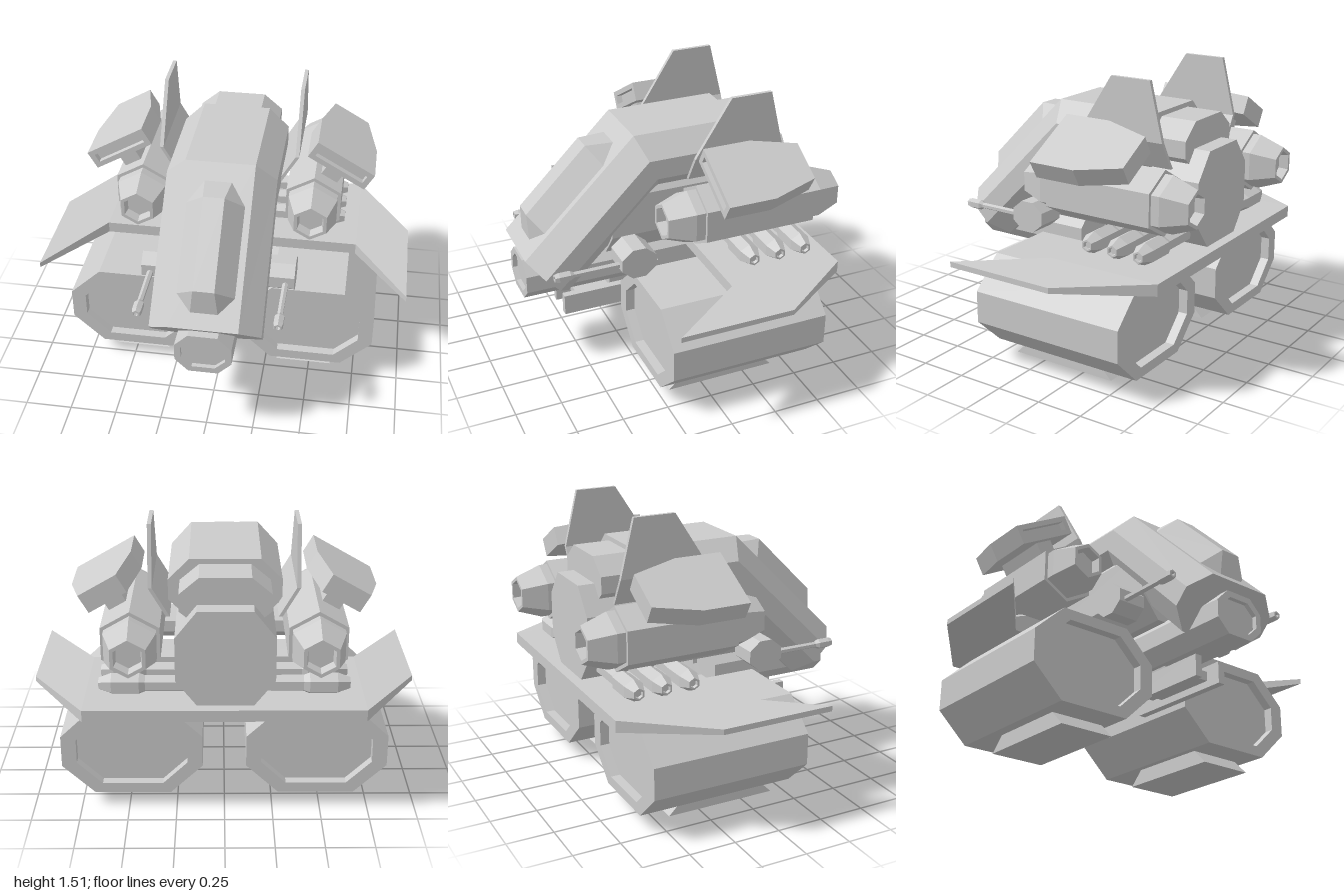
import * as THREE from 'three';
import { ConvexGeometry } from 'three/addons/geometries/ConvexGeometry.js';

const mat = new THREE.MeshStandardMaterial({ color: 0xcccccc, flatShading: true });
const V = (x, y, z) => new THREE.Vector3(x, y, z);

function add(parent, name, geo, x = 0, y = 0, z = 0) {
  const mesh = new THREE.Mesh(geo, mat);
  mesh.name = name;
  mesh.position.set(x, y, z);
  parent.add(mesh);
  return mesh;
}

function sub(parent, name) {
  const g = new THREE.Group();
  g.name = name;
  parent.add(g);
  return g;
}

// Rectangle with cut corners, half sizes w and h, cuts cx and cy
const octagon = (w, h, cx, cy) => [
  [w - cx, -h], [w, -h + cy], [w, h - cy], [w - cx, h],
  [-w + cx, h], [-w, h - cy], [-w, -h + cy], [-w + cx, -h],
].map(([x, y]) => new THREE.Vector2(x, y));

function extrude(pts, depth, hole) {
  const shape = new THREE.Shape(pts);
  if (hole) shape.holes.push(new THREE.Path(hole));
  return new THREE.ExtrudeGeometry(shape, { depth, bevelEnabled: false });
}

// Prism along z whose two ends are sunk inside a rim
function recessedPrism(parent, name, outer, inner, x, y, z0, z1, sink) {
  const g = sub(parent, name);
  add(g, name + 'Shell', extrude(outer, z1 - z0, inner), x, y, z0);
  add(g, name + 'Core', extrude(inner, z1 - z0 - 2 * sink), x, y, z0 + sink);
}

// Lathe around the z axis from [radius, z] pairs listed back to front
function latheZ(profile, sides, turn = 0) {
  const geo = new THREE.LatheGeometry(profile.map(([r, z]) => new THREE.Vector2(r, z)), sides);
  return geo.rotateY(turn).rotateX(Math.PI / 2);
}

// Bent hull: one eight-sided section at the tail, the mitred bend and the nose
function hullGeometry() {
  const section = [[0.182, 0], [0.29, 0.108], [0.29, 0.215], [0.182, 0.325]];
  const ring = section.concat(section.map(([x, d]) => [-x, d]).reverse());
  const m = Math.tan(Math.PI / 8), q = Math.SQRT1_2;
  const stations = [
    ([x, d]) => [x, 1.305 - d, -0.4],
    ([x, d]) => [x, 1.305 - d, 0.2 - d * m],
    ([x, d]) => [x, 0.7 - d * q, 0.81 - d * q],
  ];
  const pos = stations.flatMap((f) => ring.flatMap(f));
  const idx = [];
  for (let s = 0; s < 2; s++) {
    for (let i = 0; i < 8; i++) {
      const a = s * 8 + i, b = s * 8 + (i + 1) % 8;
      idx.push(a, a + 8, b, b, a + 8, b + 8);
    }
  }
  for (let i = 1; i < 7; i++) idx.push(0, i, i + 1, 16, 16 + i + 1, 16 + i);
  const geo = new THREE.BufferGeometry();
  geo.setAttribute('position', new THREE.Float32BufferAttribute(pos, 3));
  geo.setIndex(idx);
  const flat = geo.toNonIndexed();
  flat.computeVertexNormals();
  return flat;
}

function buildCentre(root) {
  const c = sub(root, 'body');
  c.position.x = -0.005;
  add(c, 'hull', hullGeometry());
  add(c, 'rearBody', extrude(octagon(0.25, 0.255, 0.11, 0.14), 1.04), 0, 0.885, -0.69);
  add(c, 'rearRoof', extrude(octagon(0.23, 0.13, 0.1, 0.085), 0.25), 0, 1.15, -0.6);

  // Canopy
  const pts = [];
  for (const s of [-1, 1]) {
    pts.push(V(s * 0.07, 1.235, 0.27), V(s * 0.15, 1.15, 0.355), V(s * 0.15, 0.82, 0.685),
      V(s * 0.07, 0.76, 0.75), V(s * 0.055, 1.235, 0.42), V(s * 0.055, 0.9, 0.755));
  }
  add(c, 'canopy', new ConvexGeometry(pts));

  // Chin sensor and the twin rails under it
  recessedPrism(c, 'chinSensor', octagon(0.147, 0.117, 0.07, 0.07),
    octagon(0.115, 0.085, 0.055, 0.052), 0, 0.53, 0.1, 0.8, 0.025);
  add(c, 'railMount', extrude([[-0.035, -0.08], [0.035, -0.08], [0.055, 0.05], [-0.055, 0.05]]
    .map((p) => new THREE.Vector2(...p)), 0.2), 0, 0.38, 0.1);
  add(c, 'railBridge', new THREE.BoxGeometry(0.13, 0.05, 0.35), 0, 0.32, 0.32);
  for (const s of [-1, 1]) {
    add(c, 'rail', new THREE.BoxGeometry(0.04, 0.115, 0.62), s * 0.077, 0.317, 0.27);
  }

  // Deck
  add(root, 'deck', new THREE.BoxGeometry(1.42, 0.062, 0.625), 0, 0.603, -0.4325);
}

function buildSide(root, s) {
  const g = sub(root, s > 0 ? 'leftSide' : 'rightSide');
  const hull = (name, pts) => add(g, name, new ConvexGeometry(pts.map(([x, y, z]) => V(s * x, y, z))));

  // Wing tip
  hull('wing', [
    ...[0.572, 0.634].flatMap((y) => [[0.71, y, -0.745], [0.71, y, -0.12]]),
    ...[0.588, 0.617].flatMap((y) => [[1, y, -0.32], [1, y, 0.29]]),
  ]);

  // Lower pod and skid
  recessedPrism(g, 'lowerPod', octagon(0.366, 0.245, 0.168, 0.16),
    octagon(0.288, 0.19, 0.13, 0.125), s * 0.479, 0.325, -0.61, 0.26, 0.05);
  hull('skid', [0.315, 0.62].flatMap((x) => [
    [x, 0, 0.185], [x, 0, -0.42], [x, 0.085, 0.1], [x, 0.085, -0.335]]));

  // Engine nacelle
  add(g, 'nacelle', latheZ([
    [0, -0.76], [0.07, -0.76], [0.08, -0.81], [0.1, -0.81], [0.15, -0.675], [0.15, -0.63], [0.17, -0.63],
    [0.17, -0.02], [0.15, -0.02], [0.15, 0.03], [0.1, 0.165], [0.08, 0.165], [0.07, 0.115], [0, 0.115],
  ], 6), s * 0.465, 0.945, 0);

  // Tilted launcher on a strut
  const l = sub(g, 'launcher');
  l.position.set(s * 0.465, 0.945, 0);
  l.rotation.z = -s * Math.PI / 6;
  add(l, 'strut', new THREE.BoxGeometry(0.1, 0.24, 0.34), 0, 0.12, -0.27);
  const plan = [[-0.178, 0.09], [0.178, 0.09], [0.178, 0.31], [0.11, 0.555], [-0.11, 0.555], [-0.178, 0.31]]
    .map((p) => new THREE.Vector2(...p));
  add(l, 'launcherBox', extrude(plan, 0.104).rotateX(-Math.PI / 2), 0, 0.22, 0);
  const rect = (w, h) => octagon(w, h, 0, 0).filter((p, i) => i % 2 === 0);
  add(l, 'launcherRim', extrude(rect(0.178, 0.052), 0.035, rect(0.148, 0.024)), 0, 0.272, -0.09);

  // Bent fin
  const plate = (y, x, z0, z1) => [[x, y, z0], [x, y, z1], [x + 0.02, y, z0], [x + 0.02, y, z1]];
  hull('finBlade', [...plate(1.515, 0.356, -0.255, -0.48), ...plate(1.21, 0.356, -0.06, -0.555)]);
  hull('finRoot', [...plate(1.21, 0.356, -0.06, -0.555), ...plate(1.06, 0.27, -0.06, -0.555)]);

  // Row of side missiles
  for (let i = 0; i < 3; i++) {
    const missile = add(g, 'missile', latheZ([
      [0, 0.2], [0.045, 0.2], [0.045, 0.4], [0.058, 0.43], [0.058, 0.57], [0.032, 0.635],
      [0.022, 0.635], [0.018, 0.62], [0, 0.62],
    ], 6), 0, 0.708, -0.285 - i * 0.15);
    missile.rotation.y = s * Math.PI / 2;
  }

  // Gun: drum mount and barrel
  const drum = extrude(octagon(0.096, 0.083, 0.06, 0.05), 0.16).rotateY(Math.PI / 2);
  add(g, 'gunMount', drum, s > 0 ? 0.25 : -0.41, 0.692, 0.265);
  add(g, 'gunBarrel', latheZ([
    [0, 0.3], [0.018, 0.3], [0.016, 0.61], [0.028, 0.63], [0.028, 0.69], [0.022, 0.713],
    [0.012, 0.713], [0.012, 0.68], [0, 0.68],
  ], 6), s * 0.363, 0.68, 0);
}

export function createModel() {
  const root = new THREE.Group();
  root.name = 'hoverCraft';
  buildCentre(root);
  for (const s of [-1, 1]) buildSide(root, s);
  return root;
}
